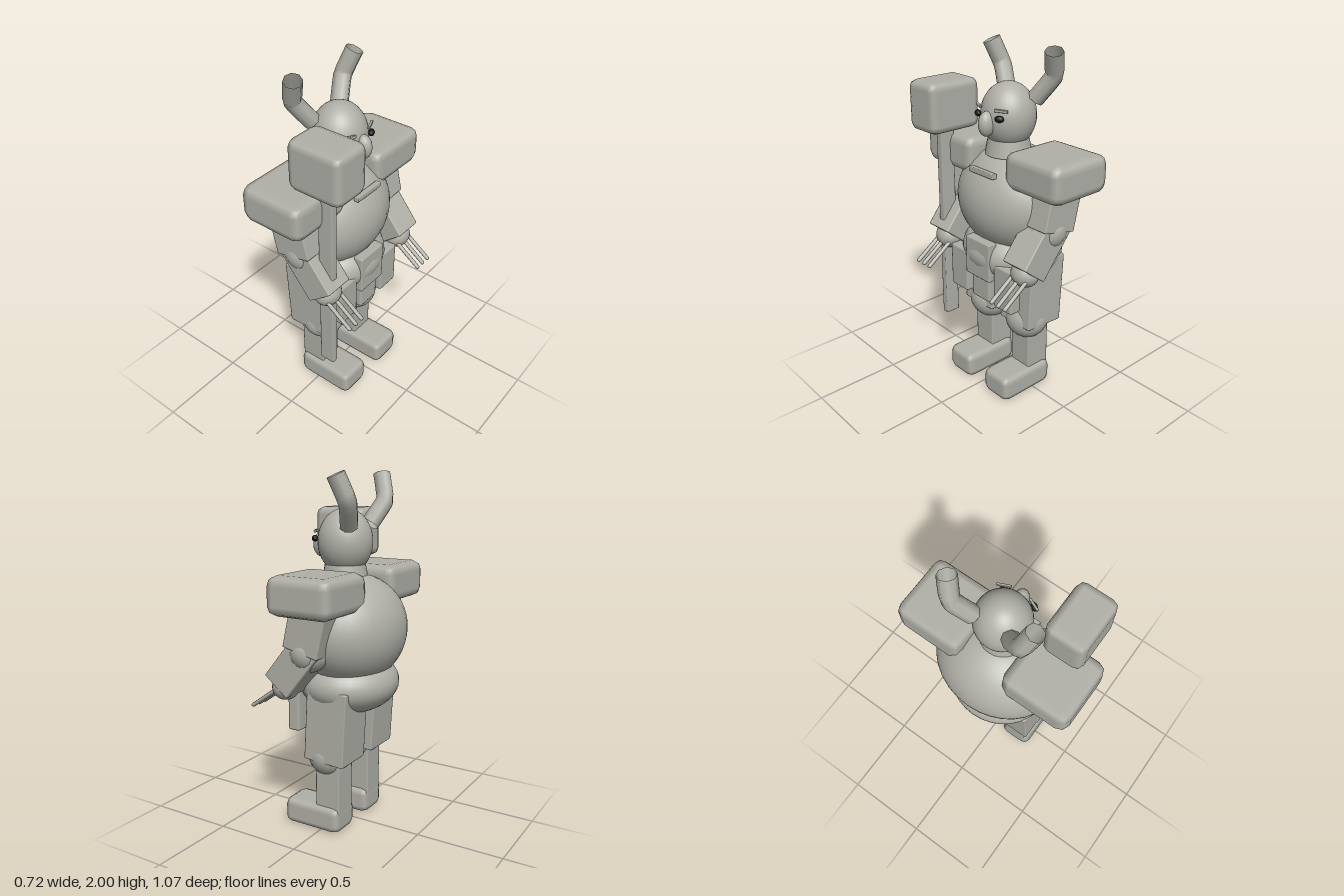
import * as THREE from 'three';
import { RoundedBoxGeometry } from 'three/addons/geometries/RoundedBoxGeometry.js';

export function createModel() {
  const model = new THREE.Group();
  model.name = 'hornedWarrior';

  const stone = new THREE.MeshStandardMaterial({ color: 0xb0b0a8 });
  stone.name = 'stoneGrey';
  stone.side = THREE.DoubleSide;
  const black = new THREE.MeshStandardMaterial({ color: 0x141414 });
  black.name = 'eyeBlack';

  const add = (name, geometry, pos, material = stone) => {
    const mesh = new THREE.Mesh(geometry, material);
    mesh.name = name;
    mesh.position.set(...pos);
    model.add(mesh);
    return mesh;
  };
  // bevelled box: size, centre, bevel radius, tilt about z
  const block = (name, size, pos, bevel = 0.008, tilt = 0) => {
    const mesh = add(name, new RoundedBoxGeometry(...size, 1, bevel), pos);
    mesh.rotation.z = tilt;
    return mesh;
  };
  const ball = (name, radii, pos, material = stone, seg = 32) => {
    const mesh = add(name, new THREE.SphereGeometry(1, seg, seg * 0.75), pos, material);
    mesh.scale.set(...radii);
    return mesh;
  };

  // Torso, facing +x
  ball('belly', [0.293, 0.31, 0.36], [-0.066, 1.14, 0]);
  ball('hips', [0.275, 0.175, 0.3], [-0.05, 0.84, 0]);
  block('chestBar', [0.03, 0.03, 0.2], [0.167, 1.337, 0], 0.005);
  add('neck', new THREE.CylinderGeometry(0.11, 0.13, 0.1, 24), [-0.02, 1.46, 0]);

  // Belt plates
  block('beltPlate', [0.06, 0.23, 0.2], [0.185, 0.835, 0]);
  block('loinFlap', [0.07, 0.16, 0.15], [0.16, 0.655, 0], 0.015);

  // Head
  ball('head', [0.152, 0.18, 0.152], [-0.02, 1.62, 0]);
  ball('nose', [0.05, 0.068, 0.041], [0.134, 1.597, 0], stone, 16);

  for (const s of [1, -1]) {
    // Face details and horn
    const eye = ball('eye', [0.018, 0.018, 0.026], [0.121, 1.637, s * 0.085], black, 12);
    eye.rotation.y = -s * 0.55;
    const brow = block('brow', [0.014, 0.016, 0.076], [0.112, 1.678, s * 0.088], 0.004);
    brow.rotation.y = -s * 0.42;
    const hornPath = new THREE.CatmullRomCurve3([
      new THREE.Vector3(-0.11, 1.71, s * 0.11),
      new THREE.Vector3(-0.155, 1.837, s * 0.198),
      new THREE.Vector3(-0.11, 1.976, s * 0.24),
    ], false, 'catmullrom', 0.15);
    add('horn', new THREE.TubeGeometry(hornPath, 8, 0.05, 8), [0, 0, 0]);

    // Arm
    block('shoulderPad', [0.388, 0.212, 0.404], [-0.05, 1.377, s * 0.331], 0.055);
    block('upperArm', [0.22, 0.32, 0.2], [-0.035, 1.23, s * 0.325], 0.008, 0.23);
    ball('elbow', [0.11, 0.11, 0.11], [0, 1.065, s * 0.325], stone, 24);
    block('forearm', [0.18, 0.33, 0.175], [0.064, 0.997, s * 0.325], 0.008, 0.68);
    ball('hand', [0.075, 0.075, 0.083], [0.155, 0.855, s * 0.327], stone, 20);
    for (const k of [-1, 0, 1]) {
      const finger = add('finger', new THREE.CapsuleGeometry(0.0115, 0.21, 4, 8),
        [0.26, 0.79, s * 0.327 + k * 0.052]);
      finger.rotation.z = 0.95;
    }

    // Leg
    block('thighPlate', [0.075, 0.265, 0.148], [0.16, 0.707, s * 0.187], 0.015);
    block('thigh', [0.25, 0.42, 0.24], [-0.058, 0.637, s * 0.16], 0.008, 0.056);
    ball('knee', [0.122, 0.122, 0.127], [-0.02, 0.445, s * 0.16], stone, 24);
    block('shin', [0.155, 0.36, 0.145], [-0.044, 0.27, s * 0.16]);
    block('foot', [0.36, 0.152, 0.202], [0.055, 0.076, s * 0.16], 0.04);
  }

  // Hammer
  block('hammerHandle', [0.09, 1.23, 0.042], [0.16, 0.96, 0.327], 0.006);
  block('hammerHead', [0.328, 0.282, 0.23], [0.16, 1.65, 0.325], 0.045);

  return model;
}
